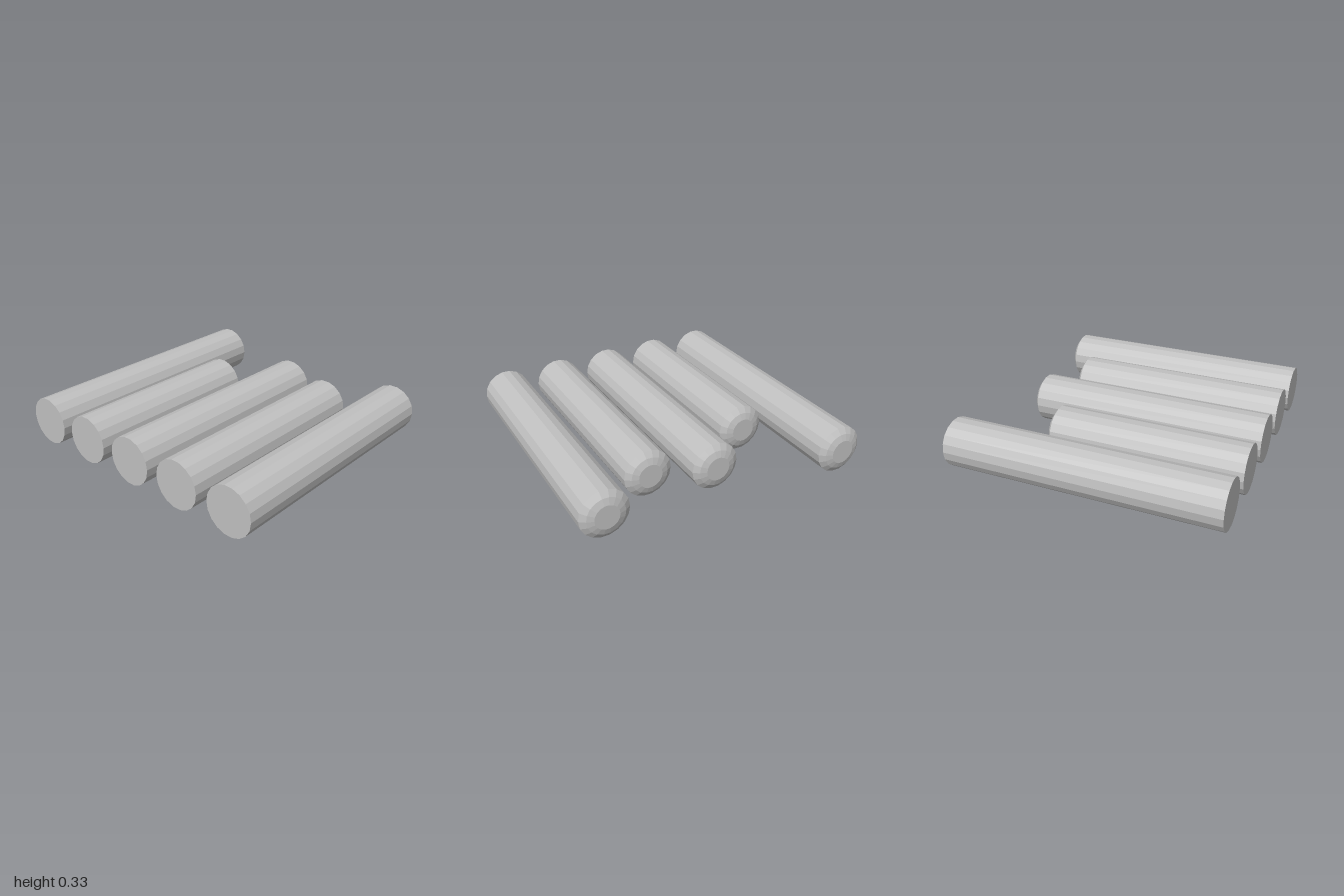
import * as THREE from 'three';

export function createModel() {
  const model = new THREE.Group();
  model.name = 'rodSet';
  const grey = new THREE.MeshStandardMaterial({ color: 0xc0c0c0, flatShading: true });
  grey.name = 'plain grey';

  const radius = 0.167, spacing = 0.4165, frontZ = 0.965, bevel = 0.043, sides = 18;

  // Rod lengths from the model's right (-x) to its left (+x)
  const lengths = [1.93, 1.375, 1.705, 1.57, 1.82];

  lengths.forEach((length, i) => {
    // Flat front end, straight shaft, two-step bevel and flat tip at the back
    const profile = [
      [0, 0],
      [radius, 0],
      [radius, length - bevel],
      [radius * 0.77, length - bevel * 0.35],
      [radius * 0.5, length],
      [0, length],
    ].map(([r, y]) => new THREE.Vector2(r, y));

    const geometry = new THREE.LatheGeometry(profile, sides, Math.PI / 2);
    geometry.rotateX(-Math.PI / 2);

    const rod = new THREE.Mesh(geometry, grey);
    rod.name = `rod${i + 1}`;
    rod.position.set((i - 2) * spacing, radius, frontZ);
    model.add(rod);
  });

  return model;
}
